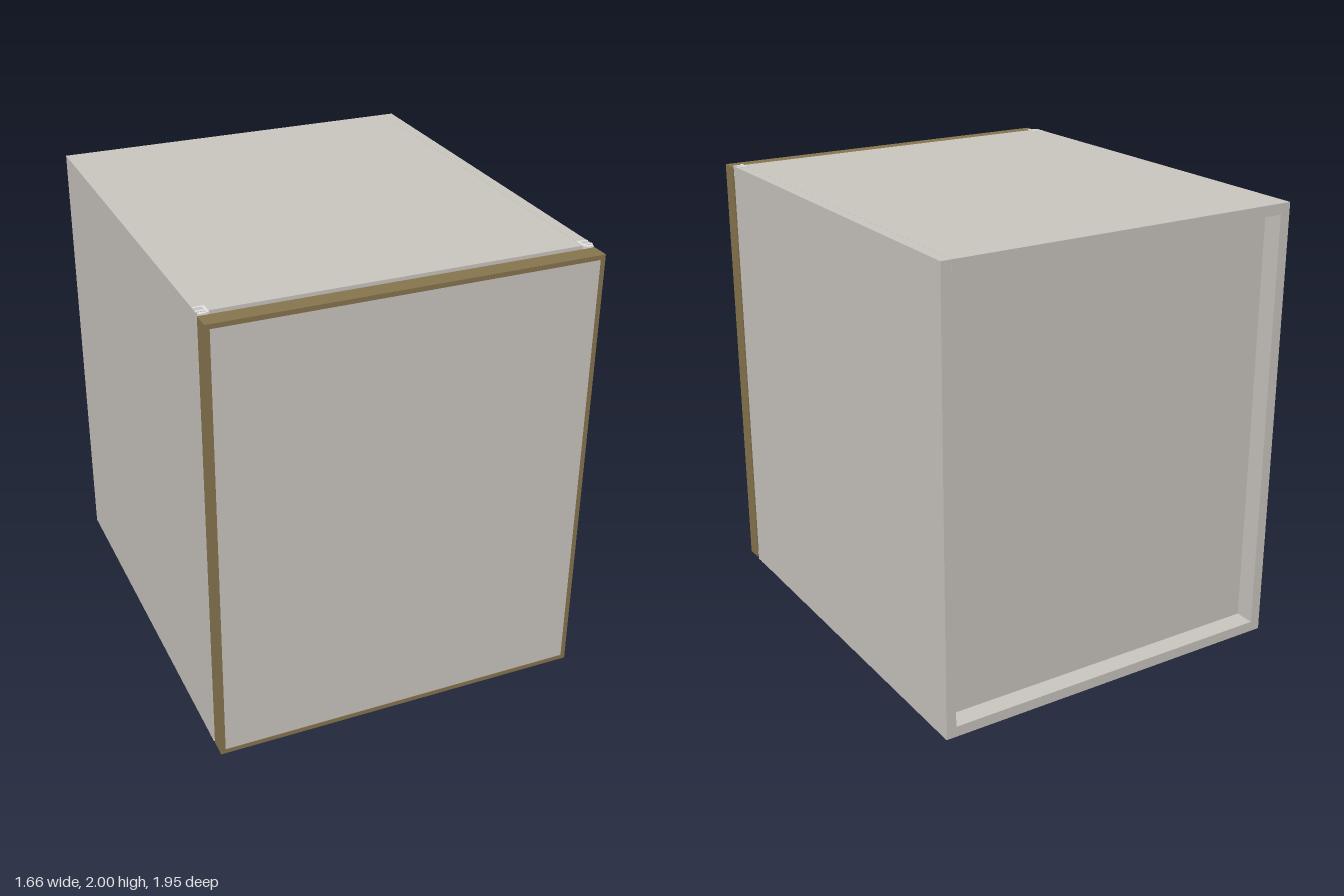
import * as THREE from 'three';

export function createModel() {
  const model = new THREE.Group();
  const grey = new THREE.MeshStandardMaterial({ name: 'greyLaminate', color: 0xcac6c0 });
  const brown = new THREE.MeshStandardMaterial({ name: 'brownEdging', color: 0x88754f });
  const metal = new THREE.MeshStandardMaterial({ name: 'paleMetal', color: 0xe4e4e2 });
  const dark = new THREE.MeshStandardMaterial({ name: 'darkRail', color: 0x5c5040 });

  // Box given by its minimum and maximum corners
  function box(name, mat, [x0, y0, z0], [x1, y1, z1], parent = model) {
    const mesh = new THREE.Mesh(new THREE.BoxGeometry(x1 - x0, y1 - y0, z1 - z0), mat);
    mesh.position.set((x0 + x1) / 2, (y0 + y1) / 2, (z0 + z1) / 2);
    mesh.name = name;
    parent.add(mesh);
    return mesh;
  }

  // Outline extruded from z0 to z1
  function extrude(name, mat, shape, z0, z1, parent = model) {
    const geo = new THREE.ExtrudeGeometry(shape, { depth: z1 - z0, bevelEnabled: false });
    const mesh = new THREE.Mesh(geo, mat);
    mesh.position.z = z0;
    mesh.name = name;
    parent.add(mesh);
    return mesh;
  }
  const outline = (pts) => pts.map(([x, y]) => new THREE.Vector2(x, y));

  const W = 0.83, T = 0.047, LOW = 0.002, HIGH = 1.998;
  const BACK = -0.975, FRONT = 0.88;

  // Carcass: top, bottom and right wall in one C section, separate left wall
  const cabinet = new THREE.Group();
  cabinet.name = 'cabinet';
  model.add(cabinet);
  const seam = W - T;
  const section = new THREE.Shape(outline([
    [seam, LOW], [seam, LOW + T], [-W + T, LOW + T], [-W + T, HIGH - T],
    [seam, HIGH - T], [seam, HIGH], [-W, HIGH], [-W, LOW],
  ]));
  extrude('carcass', grey, section, BACK, FRONT, cabinet);
  box('leftWall', grey, [seam + 0.001, LOW, BACK], [W, HIGH, FRONT], cabinet);

  // Back panel set into the carcass
  box('backPanel', grey, [-W + T, LOW + T, BACK + 0.09], [seam, HIGH - T, BACK + 0.11], cabinet);

  // Door: grey panel inside a brown edging frame
  const door = new THREE.Group();
  door.name = 'door';
  model.add(door);
  const E = 0.02, D0 = 0.005, D1 = 1.99;
  const frame = new THREE.Shape(outline([[-W, D0], [W, D0], [W, D1], [-W, D1]]));
  frame.holes.push(new THREE.Path(outline([
    [-W + E, D0 + E], [-W + E, D1 - E], [W - E, D1 - E], [W - E, D0 + E],
  ])));
  extrude('doorEdging', brown, frame, 0.895, 0.975, door);
  box('doorPanel', grey, [-W + E, D0 + E, 0.898], [W - E, D1 - E, 0.973], door);

  // Rail bridging the gap behind the door
  box('middleRail', dark, [-seam, 0.988, FRONT], [seam, 1.015, 0.895]);

  // Corner hinges: a leaf in the gap and a thin stepped bracket on the cabinet
  for (const side of [-1, 1]) {
    for (const top of [false, true]) {
      const hinge = new THREE.Group();
      hinge.name = 'hinge';
      model.add(hinge);
      const part = (name, a, b, y0, y1, z0, z1) => {
        const xs = [a * side, b * side].sort((p, q) => p - q);
        const ys = top ? [2 - y1, 2 - y0] : [y0, y1];
        box(name, metal, [xs[0], ys[0], z0], [xs[1], ys[1], z1], hinge);
      };
      part('hingeLeaf', 0.783, 0.825, 0.003, 0.05, FRONT, 0.895);
      part('hingeArm', 0.782, 0.794, 0, 0.004, 0.835, 0.895);
      part('hingePlate', 0.794, W, 0, 0.004, 0.835, 0.845);
      part('hingeFoot', 0.794, W, 0, 0.004, 0.869, 0.88);
    }
  }

  return model;
}
